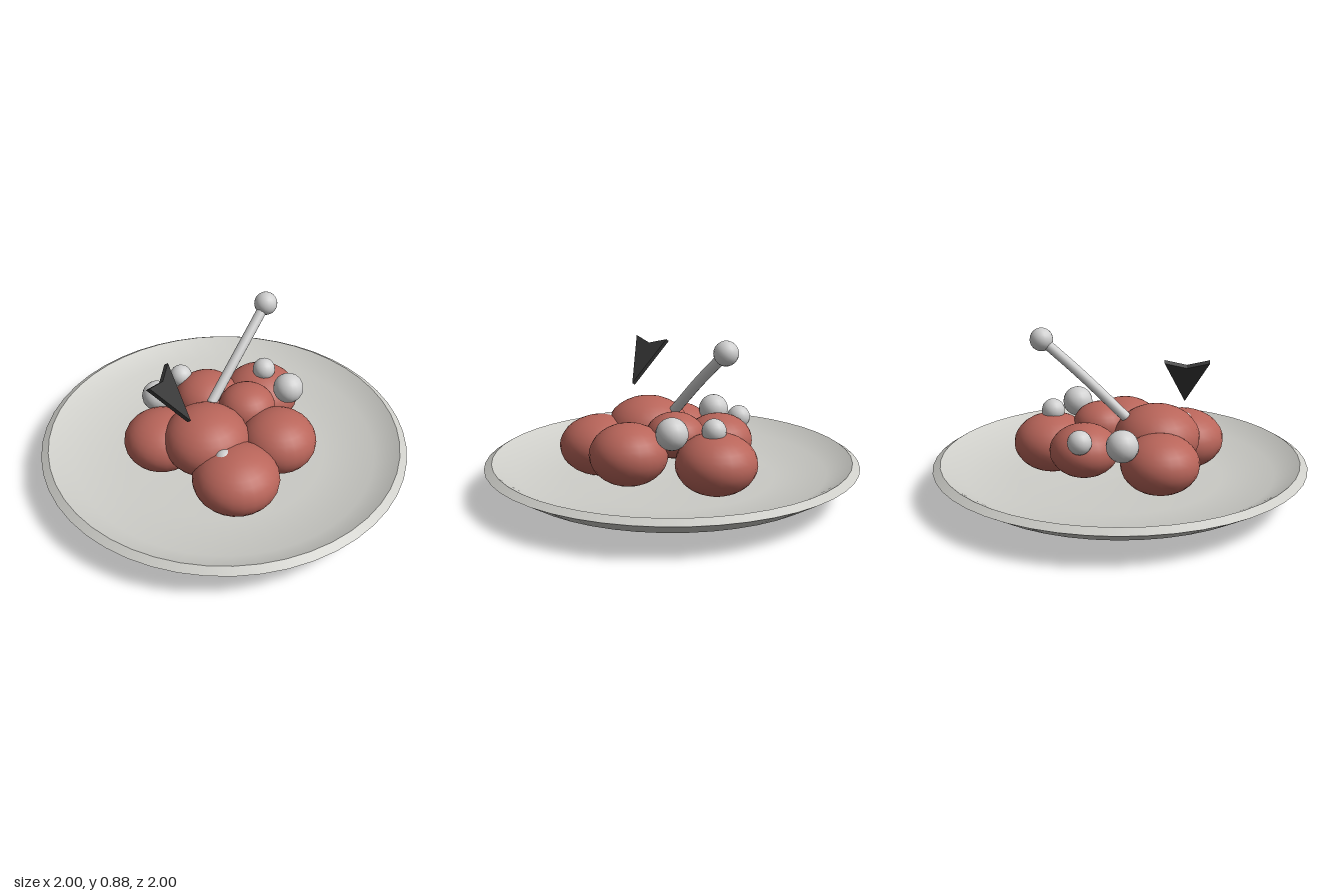
import * as THREE from 'three';

const mat = (name, color) => {
  const m = new THREE.MeshStandardMaterial({ color });
  m.name = name;
  return m;
};

export function createModel() {
  const group = new THREE.Group();
  const ceramic = mat('ceramic', 0xcdcdc8);
  const red = mat('red', 0xb9655a);
  const white = mat('white', 0xd0d0d0);
  const dark = mat('dark', 0x383838);

  const add = (name, geometry, material) => {
    const mesh = new THREE.Mesh(geometry, material);
    mesh.name = name;
    group.add(mesh);
    return mesh;
  };

  // Plate: underside, bevelled rim and hollow are separate so the rim stays crisp
  const plate = (name, profile) =>
    add(name, new THREE.LatheGeometry(profile.map(([r, y]) => new THREE.Vector2(r, y)), 48), ceramic);
  plate('plateUnderside', [[0, 0], [0.55, 0], [0.6, 0.05], [0.86, 0.09], [1, 0.175]]);
  plate('plateRim', [[1, 0.175], [0.96, 0.2]]);
  plate('plateHollow', [[0.96, 0.2], [0.83, 0.125], [0.55, 0.085], [0, 0.07]]);

  // Heap of flattened red balls: x, y, z, radius, half height
  const redBall = new THREE.SphereGeometry(1, 24, 16);
  [
    [-0.11, 0.23, 0.38, 0.228, 0.165],
    [0.205, 0.265, 0.24, 0.206, 0.162],
    [-0.16, 0.31, 0.12, 0.23, 0.175],
    [-0.345, 0.245, -0.05, 0.205, 0.155],
    [0.01, 0.28, -0.25, 0.182, 0.14],
    [0.325, 0.24, -0.2, 0.212, 0.16],
    [0.14, 0.345, -0.005, 0.155, 0.12],
  ].forEach(([x, y, z, r, h]) => {
    const ball = add('redBall', redBall, red);
    ball.position.set(x, y, z);
    ball.scale.set(r, h, r);
  });

  // Small white balls, the last one being the knob of the stick
  [
    [0.375, 0.415, 0.03, 0.083, 'whiteBall'],
    [-0.285, 0.375, -0.26, 0.083, 'whiteBall'],
    [-0.095, 0.375, -0.375, 0.063, 'whiteBall'],
    [0.335, 0.415, -0.185, 0.063, 'whiteBall'],
    [-0.16, 0.345, 0.34, 0.052, 'whiteBall'],
    [0.36, 0.813, -0.236, 0.063, 'stickKnob'],
  ].forEach(([x, y, z, r, name]) => {
    add(name, new THREE.SphereGeometry(r, 18, 12), white).position.set(x, y, z);
  });

  // Slightly bowed stick with a rounded lower end
  const path = new THREE.CatmullRomCurve3([
    new THREE.Vector3(-0.06, 0.43, -0.02),
    new THREE.Vector3(0.157, 0.633, -0.128),
    new THREE.Vector3(0.36, 0.813, -0.236),
  ]);
  add('stick', new THREE.TubeGeometry(path, 12, 0.028, 12), white);
  add('stickEnd', new THREE.SphereGeometry(0.028, 12, 8), white).position.copy(path.points[0]);

  // Notched dart hanging point-down, leaning back over the heap
  const shape = new THREE.Shape([[0, 0], [0.113, 0.29], [0, 0.255], [-0.113, 0.29]]
    .map(([x, y]) => new THREE.Vector2(x, y)));
  const across = new THREE.Vector3(1, 0, -1).normalize();
  const along = new THREE.Vector3(-0.115, 0.24, -0.115).normalize();
  const normal = across.clone().cross(along);
  const dart = new THREE.ExtrudeGeometry(shape, { depth: 0.024, bevelEnabled: false });
  dart.translate(0, 0, -0.012);
  dart.applyMatrix4(new THREE.Matrix4().makeBasis(across, along, normal));
  add('dart', dart, dark).position.set(-0.285, 0.528, 0.195);

  return group;
}
